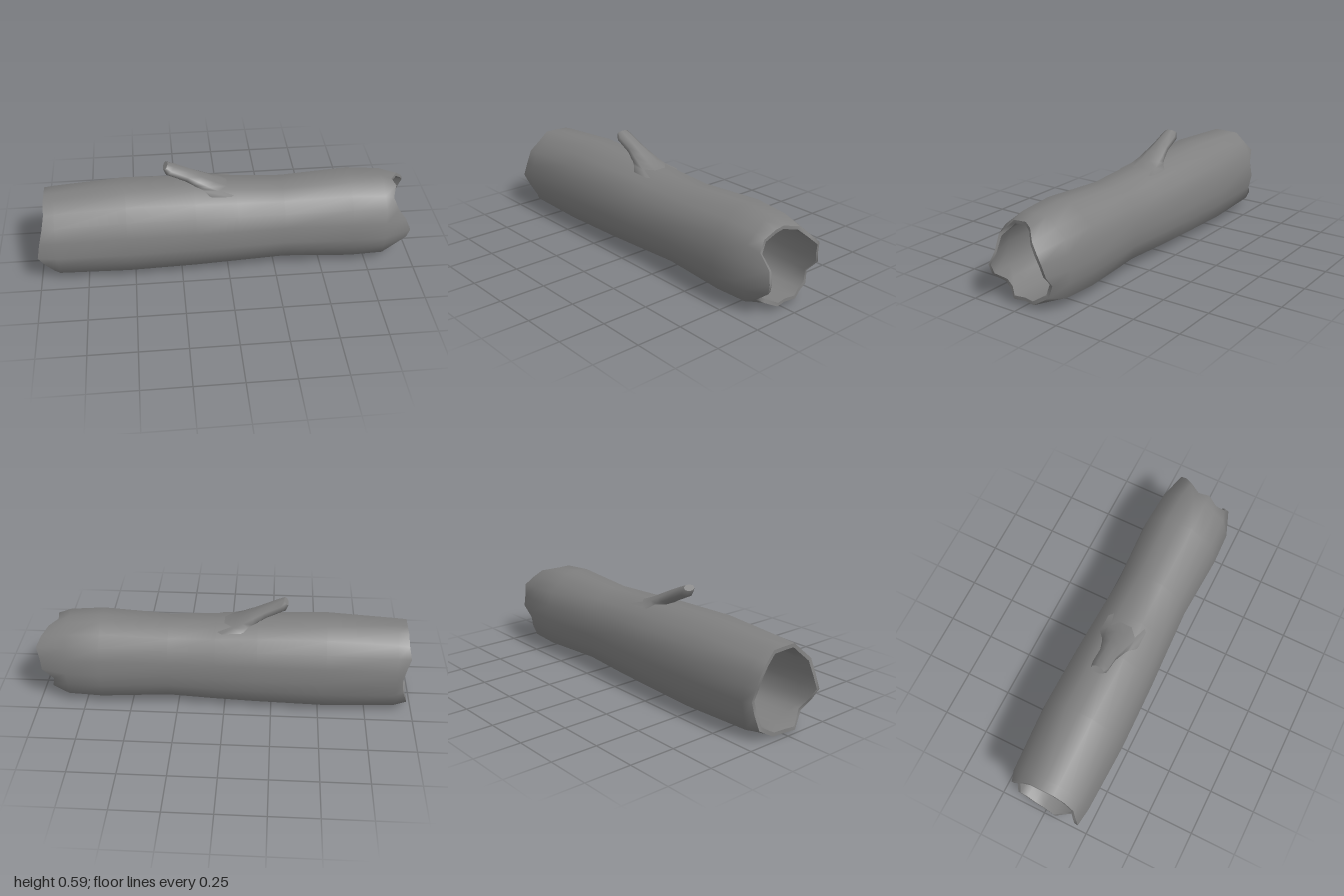
import * as THREE from 'three';

const material = new THREE.MeshStandardMaterial({ color: 0x808080, side: THREE.DoubleSide });

// Skin a list of closed rings (arrays of Vector3) with smooth normals.
function loft(name, rings) {
  const n = rings[0].length, index = [];
  for (let i = 0; i < rings.length - 1; i++) {
    for (let k = 0; k < n; k++) {
      const a = i * n + k, b = i * n + (k + 1) % n;
      index.push(a, b, a + n, b, b + n, a + n);
    }
  }
  const geometry = new THREE.BufferGeometry().setFromPoints(rings.flat());
  geometry.setIndex(index);
  geometry.computeVertexNormals();
  const mesh = new THREE.Mesh(geometry, material);
  mesh.name = name;
  return mesh;
}

// Ten-sided trunk section as [z, y] about its centre, from the top over the front.
const corners = [
  [0.07, 0.231], [0.197, 0.13], [0.239, -0.045], [0.19, -0.186], [0.066, -0.235],
  [-0.084, -0.235], [-0.197, -0.186], [-0.233, -0.025], [-0.198, 0.133], [-0.08, 0.231],
];
// Corners and edge midpoints, so that the torn ends can have finer teeth.
const section = corners.flatMap((c, i) => {
  const d = corners[(i + 1) % corners.length];
  return [c, [(c[0] + d[0]) / 2, (c[1] + d[1]) / 2]];
});

// Trunk along x: [x, scale, centre y, centre z]
const trunk = [
  [-0.9, 0.935, 0.227, 0], [-0.53, 1, 0.236, -0.004], [-0.17, 0.965, 0.234, -0.004],
  [0.05, 0.925, 0.231, -0.005], [0.3, 0.88, 0.23, -0.004], [0.66, 0.96, 0.233, -0.004],
  [0.84, 0.92, 0.228, -0.002],
];

// Torn edges: x of every point around the section, and how far it curls inwards
const rightEdge = {
  x: [0.91, 0.89, 0.91, 0.96, 0.985, 0.97, 0.89, 0.9, 0.94, 0.93,
    0.94, 0.93, 0.93, 0.92, 0.975, 0.985, 1, 0.98, 0.94, 0.9],
  scale: [0.83, 0.83, 0.8, 0.67, 0.69, 0.73, 0.79, 0.83, 0.83, 0.83,
    0.83, 0.8, 0.77, 0.78, 0.77, 0.76, 0.76, 0.78, 0.81, 0.83],
};
const leftEdge = {
  x: [-0.955, -0.955, -0.965, -0.985, -1, -0.97, -0.93, -0.96, -0.99, -0.98,
    -0.975, -0.97, -0.97, -0.945, -0.935, -0.95, -0.97, -0.96, -0.955, -0.955],
  scale: [0.93, 0.92, 0.9, 0.89, 0.88, 0.88, 0.87, 0.88, 0.9, 0.9,
    0.9, 0.88, 0.85, 0.82, 0.8, 0.82, 0.87, 0.9, 0.92, 0.93],
};

const trunkRing = ([x, s, cy, cz], wall) => section.map(([z, y]) =>
  new THREE.Vector3(x, cy + y * s * wall, cz + z * s * wall));

const tornRing = (edge, wall) => section.map(([z, y], k) => {
  const s = edge.scale[k] * wall;
  return new THREE.Vector3(edge.x[k], 0.224 + y * s, z * s);
});

export function createModel() {
  const group = new THREE.Group();
  group.name = 'hollowLog';

  // Bark, hollow and the thin torn rims joining them
  const shell = (wall, endWall) => [
    tornRing(leftEdge, endWall),
    ...trunk.map((station) => trunkRing(station, wall)),
    tornRing(rightEdge, endWall),
  ];
  const outer = shell(1, 1), inner = shell(0.84, 0.91), last = outer.length - 1;
  group.add(loft('bark', outer));
  group.add(loft('hollow', [...inner].reverse()));
  group.add(loft('rightRim', [outer[last], inner[last]]));
  group.add(loft('leftRim', [inner[0], outer[0]]));

  // Branch stub flaring into the trunk: [upper x, upper y, lower x, lower y, half width]
  const stub = [
    [0.09, 0.425, -0.15, 0.435, 0.11],
    [0.01, 0.446, -0.165, 0.455, 0.08],
    [-0.055, 0.471, -0.175, 0.462, 0.067],
    [-0.125, 0.506, -0.19, 0.468, 0.057],
    [-0.19, 0.538, -0.215, 0.482, 0.046],
    [-0.27, 0.575, -0.312, 0.529, 0.043],
    [-0.302, 0.588, -0.326, 0.562, 0.032],
  ].map(([ux, uy, lx, ly, w]) => Array.from({ length: 8 }, (_, k) => {
    const a = (k + 0.5) / 8 * Math.PI * 2;
    const c = Math.cos(a) / Math.cos(Math.PI / 8), s = Math.sin(a) / Math.cos(Math.PI / 8);
    return new THREE.Vector3(
      (ux + lx) / 2 + c * (ux - lx) / 2, (uy + ly) / 2 + c * (uy - ly) / 2, -0.012 - s * w);
  }));
  group.add(loft('branch', stub));

  // Flat cut at the end of the branch
  const tip = stub[stub.length - 1];
  const middle = tip.reduce((sum, p) => sum.add(p), new THREE.Vector3()).divideScalar(tip.length);
  group.add(loft('branchTip', [tip, tip.map(() => middle.clone())]));

  return group;
}
